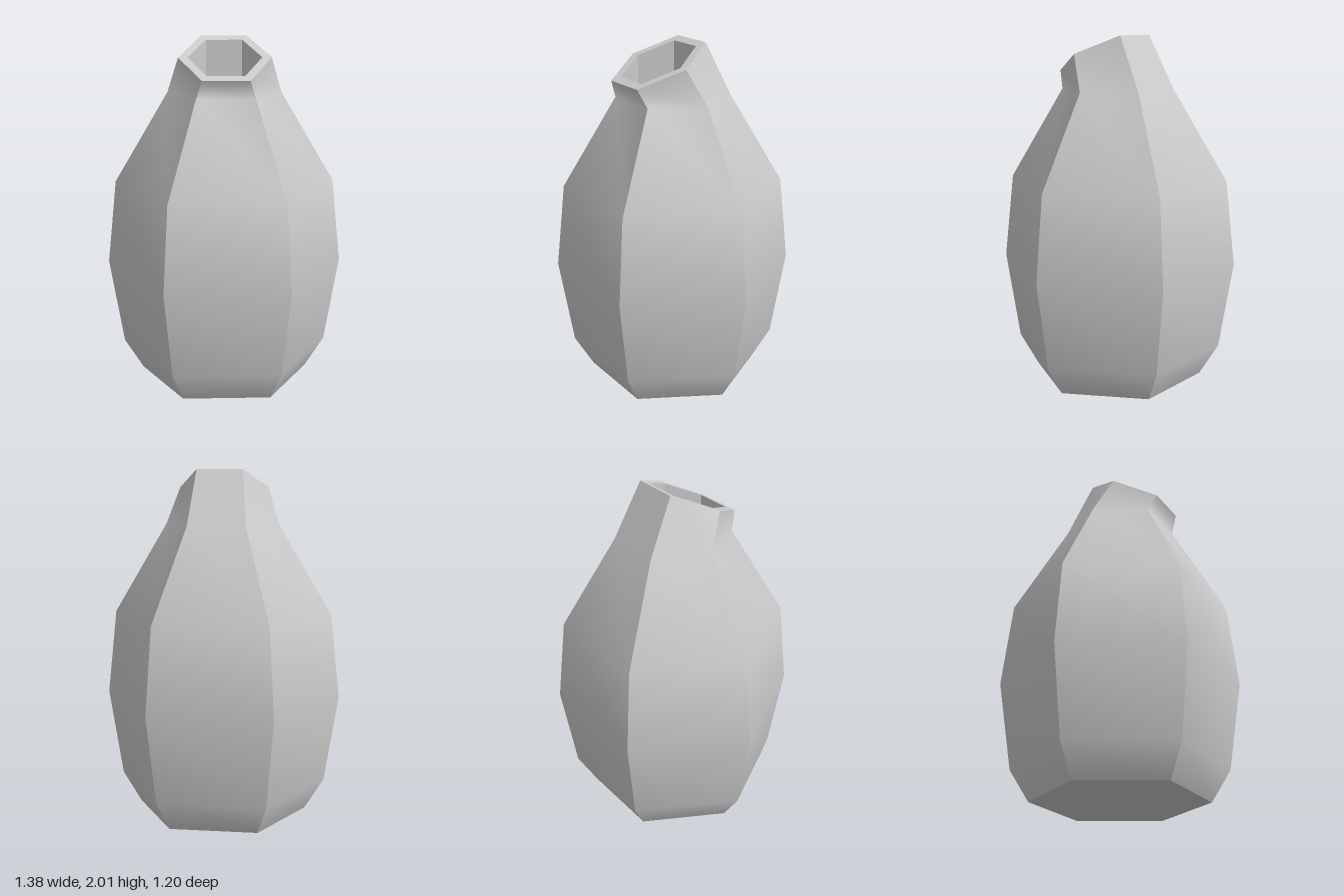
import * as THREE from 'three';

const SIDES = 6;
const TILT = 0.452; // forward slope of the mouth

// A ring is a hexagon: radius, height of its centre, z of its centre, forward slope
const ring = (r, y, zc = 0, tilt = 0) => ({ r, y, zc, tilt });

function corner({ r, y, zc, tilt }, k) {
  const a = (k * Math.PI * 2) / SIDES;
  const z = r * Math.sin(a);
  return [r * Math.cos(a), y - tilt * z, zc + z];
}

// Joins rings into six panels, smooth along each panel and sharp between panels
function hexSurface(name, rings, material) {
  const pos = [], index = [];
  for (let k = 0; k < SIDES; k++) {
    rings.forEach((rg, j) => {
      const a = pos.length / 3;
      pos.push(...corner(rg, k), ...corner(rg, k + 1));
      if (j === rings.length - 1) return;
      if (rings[j + 1].r > 0) index.push(a, a + 2, a + 3);
      else index.push(a, a + 2, a + 1);
      if (rg.r > 0 && rings[j + 1].r > 0) index.push(a, a + 3, a + 1);
    });
  }
  const geo = new THREE.BufferGeometry();
  geo.setAttribute('position', new THREE.Float32BufferAttribute(pos, 3));
  geo.setIndex(index);
  geo.computeVertexNormals();
  const mesh = new THREE.Mesh(geo, material);
  mesh.name = name;
  return mesh;
}

export function createModel() {
  const group = new THREE.Group();
  group.name = 'hexagonalVase';
  const material = new THREE.MeshStandardMaterial({ color: 0xcccccc });

  const foot = ring(0.5, 0);
  const mouth = ring(0.262, 1.905, 0.1, TILT / 1.08);
  mouth.tilt = 0.095 / 0.21;
  mouth.r = 0.26;
  // Mouth is a regular hexagon in its own sloped plane, so its plan is nearly regular
  const lip = ring(0.207, 1.905, 0.1, TILT);
  const wellFloor = ring(0.207, 0.95, 0.1, TILT);

  // Flat underside
  group.add(hexSurface('base', [ring(0, 0), foot], material));
  // Outer wall, from foot to leaning neck
  group.add(hexSurface('body', [
    foot, ring(0.61, 0.18), ring(0.69, 0.69), ring(0.635, 1.18), ring(0.325, 1.7), mouth,
  ], material));
  // Sloped rim, hollow and its floor
  group.add(hexSurface('rim', [mouth, lip], material));
  group.add(hexSurface('innerWall', [lip, wellFloor], material));
  group.add(hexSurface('innerFloor', [wellFloor, ring(0, 0.95, 0.1, TILT)], material));
  return group;
}
